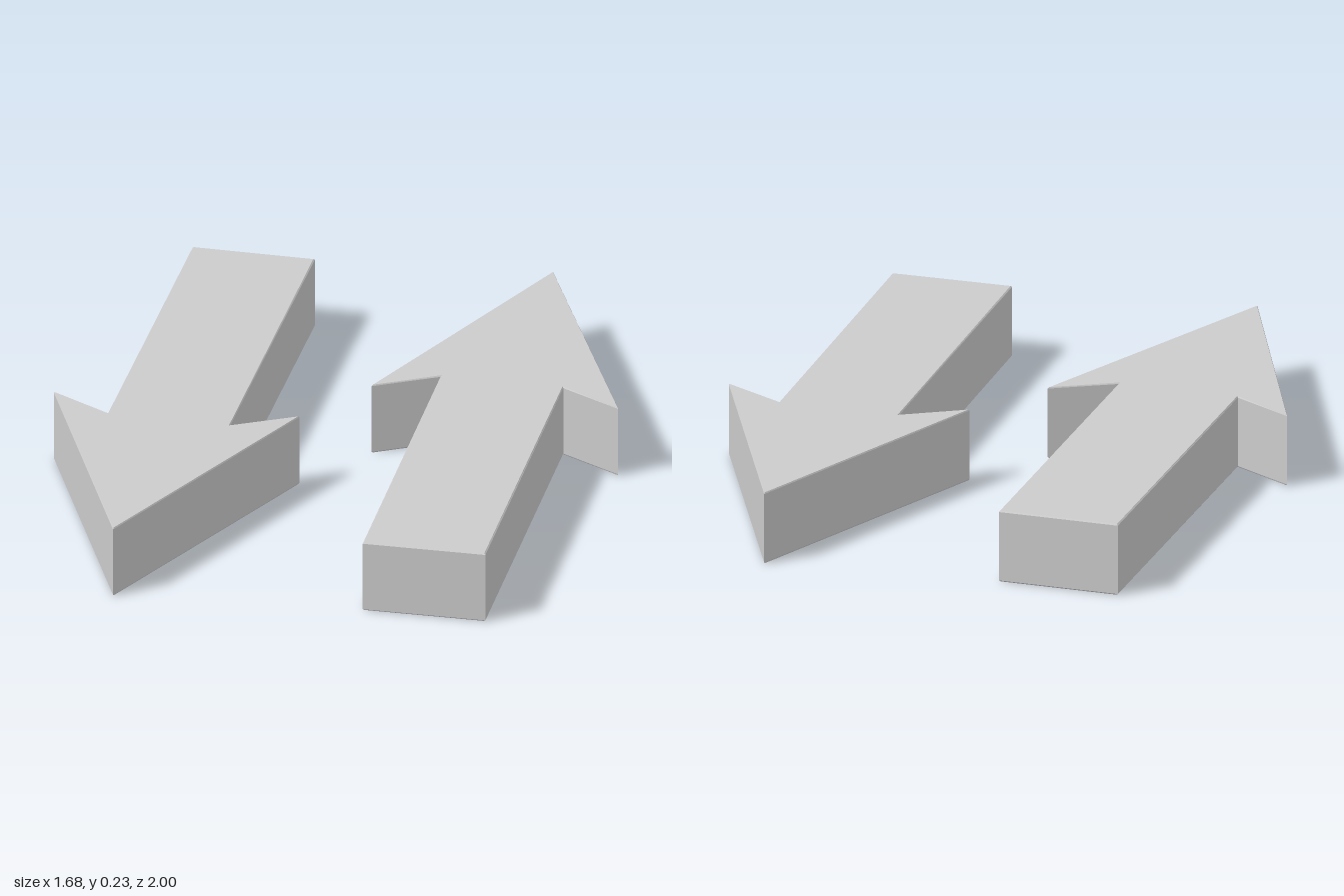
import * as THREE from 'three';

const HEIGHT = 0.228, BEVEL = 0.004;

// One flat block arrow, lying on the ground and pointing to -z
function makeArrow(name, x, z, turn) {
  const half = [[0.189, -0.9625], [0.189, 0.197], [0.38, 0.092]];
  const outline = [
    ...half,
    [0, 0.9625],
    ...half.map(([px, py]) => [-px, py]).reverse(),
  ].map(([px, py]) => new THREE.Vector2(px, py));

  const geometry = new THREE.ExtrudeGeometry(new THREE.Shape(outline), {
    depth: HEIGHT - 2 * BEVEL,
    bevelThickness: BEVEL,
    bevelSize: BEVEL,
    bevelOffset: -BEVEL,
    bevelSegments: 1,
  });
  geometry.translate(0, 0, BEVEL);
  geometry.rotateX(-Math.PI / 2);

  const material = new THREE.MeshStandardMaterial({ color: 0xcccccc, flatShading: true });
  const mesh = new THREE.Mesh(geometry, material);
  mesh.name = name;
  mesh.position.set(x, 0, z);
  mesh.rotation.y = turn;
  return mesh;
}

export function createModel() {
  const model = new THREE.Group();
  model.name = 'oppositeArrows';
  // The right arrow points forward, the left one backward and a touch askew
  model.add(makeArrow('forwardArrow', -0.464, 0.0375, Math.PI));
  model.add(makeArrow('backwardArrow', 0.4625, -0.0375, THREE.MathUtils.degToRad(1.05)));
  return model;
}
